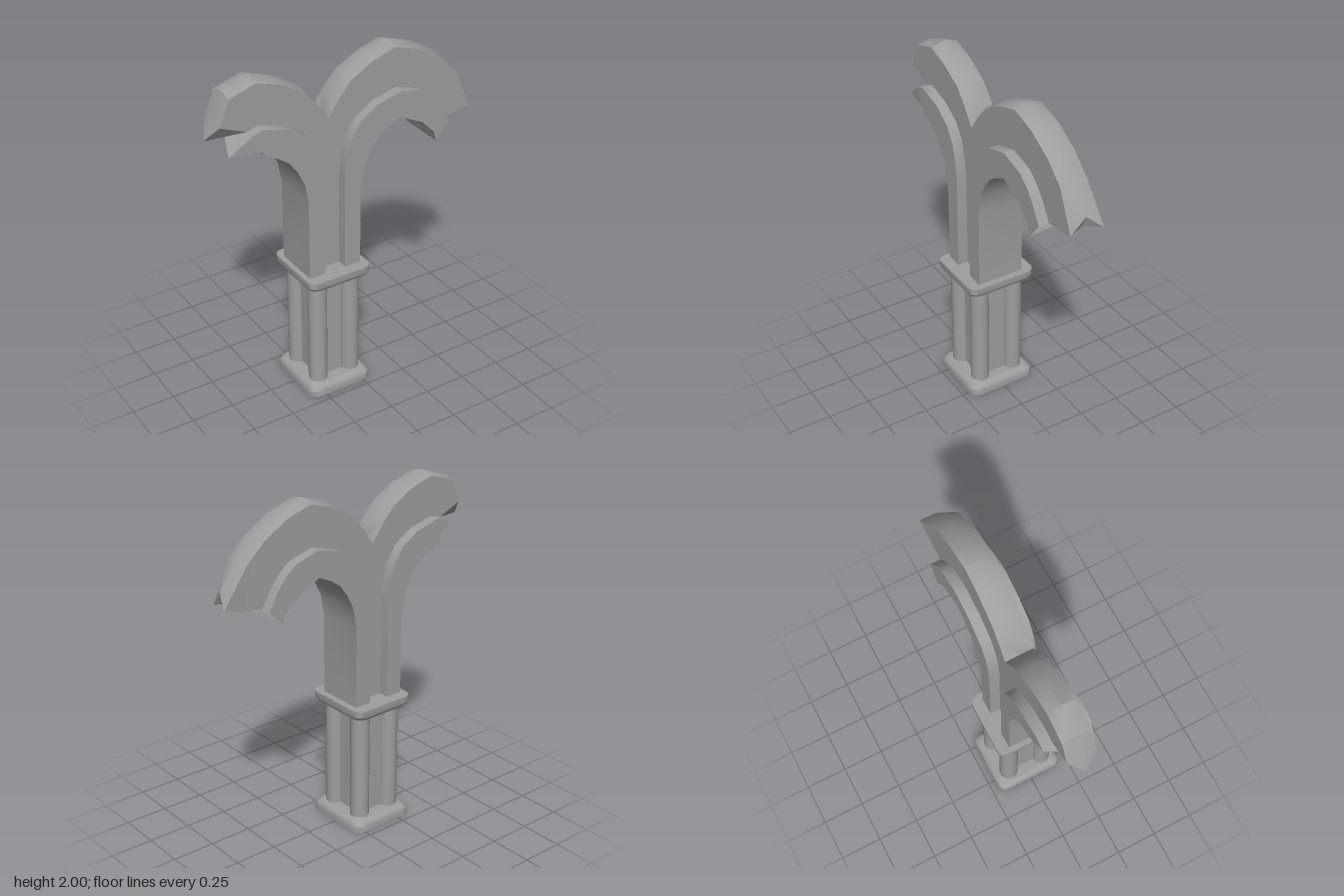
import * as THREE from 'three';
import { toCreasedNormals } from 'three/addons/utils/BufferGeometryUtils.js';

const PX = -0.142, CX = -0.146; // axes of the pillar and of the fork
const BAND = 0.14, WEB = 0.08; // half depths of the wide rib and the thin web
const V = (x, y, z) => new THREE.Vector3(x, y, z);

// Triangle collector; flip reverses the winding for mirrored parts
function skinner(flip) {
  const pos = [];
  const tri = (a, b, c) => {
    for (const p of flip ? [a, c, b] : [a, b, c]) pos.push(p.x, p.y, p.z);
  };
  return {
    loft(rings) {
      for (let i = 0; i + 1 < rings.length; i++) {
        const lo = rings[i], hi = rings[i + 1], n = lo.length;
        for (let j = 0; j < n; j++) {
          const k = (j + 1) % n;
          tri(lo[j], hi[j], hi[k]);
          tri(lo[j], hi[k], lo[k]);
        }
      }
    },
    fan(loop, centre, start = false) {
      loop.forEach((a, j) => {
        const b = loop[(j + 1) % loop.length];
        if (start) tri(a, b, centre); else tri(b, a, centre);
      });
    },
    geometry() {
      const g = new THREE.BufferGeometry();
      g.setAttribute('position', new THREE.Float32BufferAttribute(pos, 3));
      return toCreasedNormals(g, 0.6);
    },
  };
}

// Rounded rectangle at height y, pulled in by inset
function roundedRing(y, inset) {
  const hx = 0.197 - inset, hz = 0.208 - inset, r = 0.05, ring = [];
  for (let q = 0; q < 4; q++) {
    const sx = q === 0 || q === 3 ? 1 : -1, sz = q < 2 ? 1 : -1;
    for (let i = 0; i <= 4; i++) {
      const a = (q + i / 4) * Math.PI / 2;
      ring.push(V(PX + sx * (hx - r) + r * Math.cos(a), y, sz * (hz - r) + r * Math.sin(a)));
    }
  }
  return ring;
}

function slab(profile) {
  const s = skinner(false);
  const rings = profile.map(([y, inset]) => roundedRing(y, inset));
  s.loft(rings);
  s.fan(rings[0], V(PX, profile[0][0], 0), true);
  s.fan(rings.at(-1), V(PX, profile.at(-1)[0], 0));
  return s.geometry();
}

// Shared stations: soffit u,y / rib top u,y / web crest u,y (u = distance from the axis)
const springing = [
  [0.163, 0.74, 0.064, 0.74, 0, 0.74],
  [0.163, 1.25, 0.064, 1.34, 0, 1.45],
  [0.185, 1.37, 0.078, 1.46, 0, 1.68],
  [0.225, 1.45, 0.103, 1.55, 0.06, 1.79],
  [0.275, 1.52, 0.16, 1.64, 0.14, 1.88],
  [0.34, 1.565, 0.27, 1.71, 0.275, 1.955],
  [0.414, 1.6, 0.418, 1.75, 0.418, 2.0],
];

// One arm; broken lists the jagged end: [u, y, z] for each section corner and the two cap centres
function arm(side, extra, broken) {
  const P = (u, y, z) => V(CX + side * u, y, z);
  const section = ([iu, iy, mu, my, wu, wy]) => {
    const t = wu === 0 ? 0 : 0.08; // bevel beside the crest
    const eu = wu + (mu - wu) * t, ey = wy + (my - wy) * t;
    const ku = (mu + wu) / 2, ky = (my + wy) / 2;
    return [
      P(iu, iy, -BAND), P(iu, iy, BAND), P(mu, my, BAND), P(mu, my, WEB),
      P(ku, ky, WEB), P(eu, ey, WEB), P(wu, wy, 0), P(eu, ey, -WEB),
      P(ku, ky, -WEB), P(mu, my, -WEB), P(mu, my, -BAND),
    ];
  };
  const end = broken.corners.map((c) => P(...c));
  const s = skinner(side < 0);
  s.loft([...springing, ...extra].map(section).concat([end]));
  s.fan([0, 1, 2, 3, 9, 10].map((i) => end[i]), P(...broken.ribCentre));
  s.fan(end.slice(3, 10), P(...broken.webCentre));
  return s.geometry();
}

export function createModel() {
  const model = new THREE.Group();
  const material = new THREE.MeshStandardMaterial({ color: 0x9e9e9e, side: THREE.DoubleSide });
  const add = (name, geometry, x = 0, y = 0, z = 0) => {
    const mesh = new THREE.Mesh(geometry, material);
    mesh.name = name;
    mesh.position.set(x, y, z);
    model.add(mesh);
  };

  // Hollow base and capital
  add('base', slab([[0.064, 0.03], [0.03, 0.008], [0, 0.008], [0, 0], [0.038, 0], [0.056, 0.01], [0.07, 0.027]]));
  add('capital', slab([[0.705, 0.027], [0.719, 0.01], [0.737, 0], [0.775, 0]]));

  // Pillar core with four corner shafts
  add('pillarCore', new THREE.BoxGeometry(0.22, 0.67, 0.225), PX, 0.4, 0);
  for (const sx of [-1, 1]) for (const sz of [-1, 1]) {
    add('cornerShaft', new THREE.CylinderGeometry(0.055, 0.055, 0.72, 16, 1, true),
      PX + sx * 0.105, 0.37, sz * 0.11);
  }

  // Long arm on the model's left
  add('leftArch', arm(1, [
    [0.56, 1.53, 0.56, 1.71, 0.575, 1.95],
    [0.605, 1.485, 0.625, 1.66, 0.72, 1.865],
    [0.64, 1.45, 0.68, 1.59, 0.84, 1.755],
  ], {
    corners: [
      [0.655, 1.4, -BAND], [0.66, 1.39, BAND], [0.74, 1.49, BAND], [0.74, 1.49, WEB],
      [0.85, 1.5, WEB], [0.925, 1.515, WEB], [0.94, 1.61, 0], [0.974, 1.54, -0.085],
      [0.87, 1.51, -WEB], [0.74, 1.49, -WEB], [0.74, 1.49, -BAND],
    ],
    ribCentre: [0.61, 1.53, 0],
    webCentre: [0.91, 1.545, 0],
  }));

  // Short arm on the model's right, with a splintered end
  add('rightArch', arm(-1, [], {
    corners: [
      [0.43, 1.625, -BAND], [0.435, 1.63, BAND], [0.48, 1.73, BAND], [0.48, 1.73, WEB],
      [0.63, 1.79, WEB], [0.573, 1.93, WEB], [0.57, 1.95, 0], [0.573, 1.93, -WEB],
      [0.63, 1.79, -WEB], [0.49, 1.73, -WEB], [0.51, 1.73, -BAND],
    ],
    ribCentre: [0.604, 1.63, 0.11],
    webCentre: [0.684, 1.7, 0],
  }));

  return model;
}
